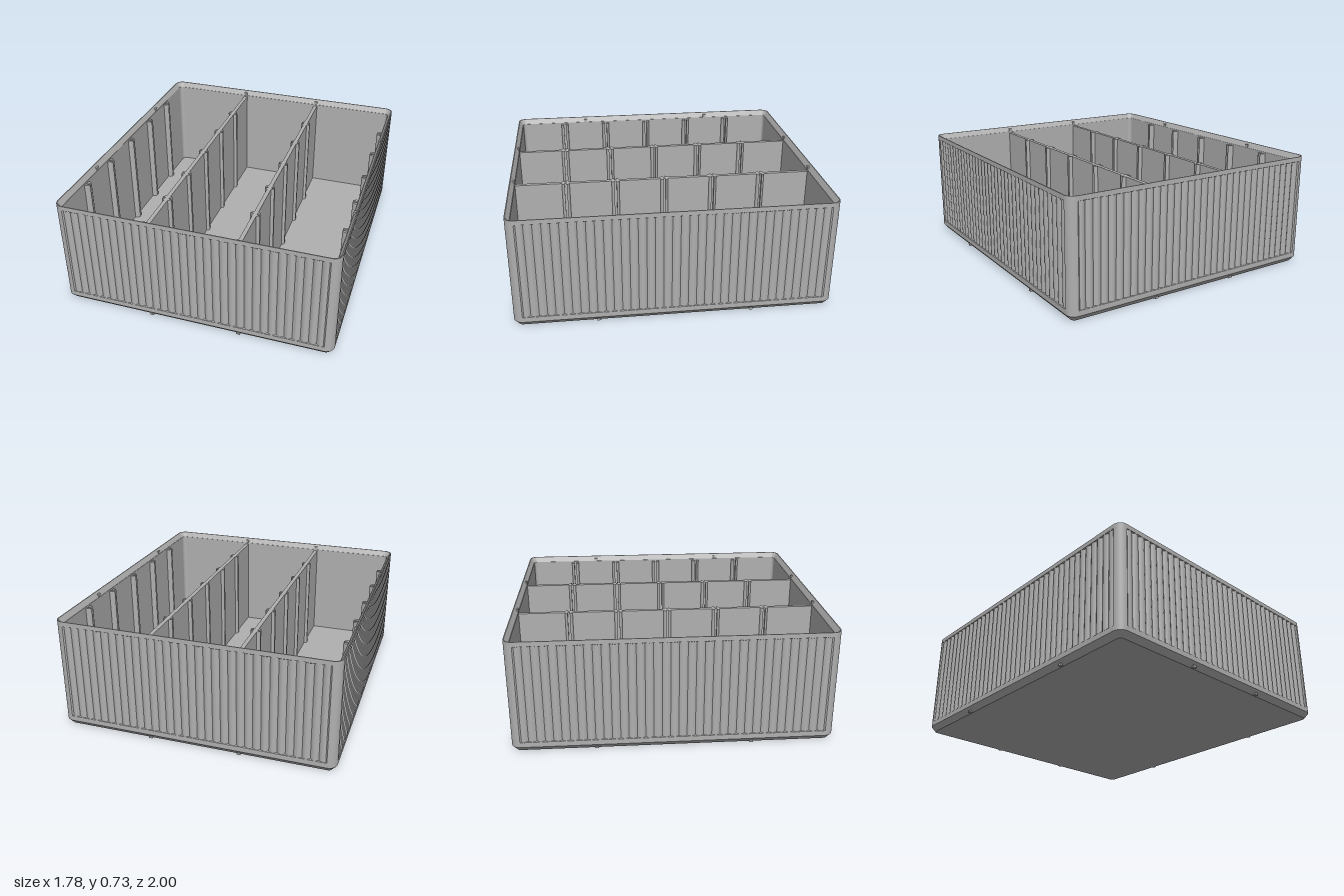
import * as THREE from 'three';
import { toCreasedNormals } from 'three/addons/utils/BufferGeometryUtils.js';

const HX = 0.89, HZ = 1, R = 0.055;      // half width, half depth, corner radius
const FLOOR = 0.025, TOP = 0.685;        // inside floor, divider height
const WALL = 0.03;                       // wall thickness

// Rounded rectangle, inset by d, with scalloped sides of the given depth
function outline(y, d, depth = 0) {
  const cx = HX - R, cz = HZ - R, r = R - d, pts = [];
  const corners = [[cx, cz], [-cx, cz], [-cx, -cz], [cx, -cz]];
  corners.forEach(([x, z], c) => {
    const start = c * Math.PI / 2;
    for (let i = 0; i <= 8; i++) {
      const a = start + (i / 8) * Math.PI / 2;
      pts.push([x + r * Math.cos(a), y, z + r * Math.sin(a)]);
    }
    // straight side leading to the next corner
    const [nx, nz] = corners[(c + 1) % 4];
    const a = start + Math.PI / 2, ox = Math.cos(a), oz = Math.sin(a);
    const flutes = c % 2 ? 37 : 33, steps = 6;
    for (let i = 1; i < flutes * steps; i++) {
      const t = i / (flutes * steps);
      const off = r - depth * (1 - Math.sin(Math.PI * (i % steps) / steps));
      pts.push([x + (nx - x) * t + ox * off, y, z + (nz - z) * t + oz * off]);
    }
  });
  return pts;
}

// Skin a list of closed rings; a ring may be a single repeated point
function loft(rings) {
  const n = rings[0].length, pos = [];
  const same = (p, q) => p.every((v, i) => Math.abs(v - q[i]) < 1e-7);
  const tri = (a, b, c) => {
    if (!same(a, b) && !same(b, c) && !same(a, c)) pos.push(...a, ...b, ...c);
  };
  for (let k = 0; k < rings.length - 1; k++) {
    for (let i = 0; i < n; i++) {
      const j = (i + 1) % n;
      tri(rings[k][i], rings[k + 1][i], rings[k][j]);
      tri(rings[k][j], rings[k + 1][i], rings[k + 1][j]);
    }
  }
  const g = new THREE.BufferGeometry();
  g.setAttribute('position', new THREE.Float32BufferAttribute(pos, 3));
  return toCreasedNormals(g, 0.5);
}

// Upright rounded rib: part of an ellipse, extruded from floor to divider top
function ribGeometry(a0, a1) {
  const pts = [new THREE.Vector2(0, 0)];
  for (let i = 0; i <= 10; i++) {
    const a = a0 + (a1 - a0) * i / 10;
    pts.push(new THREE.Vector2(0.032 * Math.cos(a), 0.02 * Math.sin(a)));
  }
  const g = new THREE.ExtrudeGeometry(new THREE.Shape(pts), { depth: TOP - FLOOR, bevelEnabled: false });
  g.rotateX(-Math.PI / 2);
  return toCreasedNormals(g, 0.5);
}

export function createModel() {
  const model = new THREE.Group();
  model.name = 'dividedBin';
  const grey = new THREE.MeshStandardMaterial({ color: 0xb0b0b0 });
  grey.name = 'grey plastic';

  const add = (name, geometry, x = 0, y = 0, z = 0) => {
    const mesh = new THREE.Mesh(geometry, grey);
    mesh.name = name;
    mesh.position.set(x, y, z);
    model.add(mesh);
  };

  // Tray: underside, chamfer, fluted wall, sloped stacking rim, inner wall, floor
  const centre = y => outline(y, 0).map(() => [0, y, 0]);
  add('tray', loft([
    centre(0),
    outline(0, 0.03),
    outline(0.035, 0),
    outline(0.068, 0),
    outline(0.07, 0, 0.013),
    outline(0.698, 0, 0.013),
    outline(0.7, 0),
    outline(0.73, 0),
    outline(0.73, 0.006),
    outline(0.695, 0.027),
    outline(0.695, WALL),
    outline(FLOOR, WALL),
    centre(FLOOR),
  ]));

  // Two long dividers
  const divider = new THREE.BoxGeometry(0.026, TOP - FLOOR, 2 * (HZ - WALL) + 0.01);
  for (const x of [-0.29, 0.29]) add('divider', divider, x, (TOP + FLOOR) / 2, 0);

  // Paired ribs forming slots for cross panels
  const P = Math.PI;
  const halfRibs = [[0, P], [P, 2 * P]].map(a => ribGeometry(...a));
  const leftWallRibs = [[P / 2, P], [P, 1.5 * P]].map(a => ribGeometry(...a));
  const rightWallRibs = [[0, P / 2], [1.5 * P, 2 * P]].map((a) => ribGeometry(...a));
  const rows = [
    ['dividerRib', -0.29, halfRibs],
    ['dividerRib', 0.29, halfRibs],
    ['leftWallRib', HX - WALL, leftWallRibs],
    ['rightWallRib', -(HX - WALL), rightWallRibs],
  ];
  for (let i = -2; i <= 2; i++) {
    for (const [name, x, pair] of rows) {
      // first rib of each pair sits behind the slot, second in front of it
      add(name, pair[0], x, FLOOR, i * 0.323 - 0.007);
      add(name, pair[1], x, FLOOR, i * 0.323 + 0.007);
    }
  }

  // Stacking nubs under the edge and matching seats on the rim slope
  const nubX = new THREE.BoxGeometry(0.024, 0.013, 0.03);
  const nubZ = new THREE.BoxGeometry(0.03, 0.013, 0.024);
  const seatX = new THREE.BoxGeometry(0.024, 0.02, 0.018);
  const seatZ = new THREE.BoxGeometry(0.018, 0.02, 0.024);
  for (const s of [-1, 1]) {
    for (const t of [-1, 1]) {
      add('stackingNub', nubX, t * 0.29, 0.0095, s * (HZ - 0.026));
      add('stackingNub', nubZ, s * (HX - 0.026), 0.0095, t * 0.48);
      add('rimSeat', seatX, t * 0.29, 0.706, s * (HZ - 0.019));
      add('rimSeat', seatZ, s * (HX - 0.019), 0.706, t * 0.48);
    }
  }
  return model;
}
